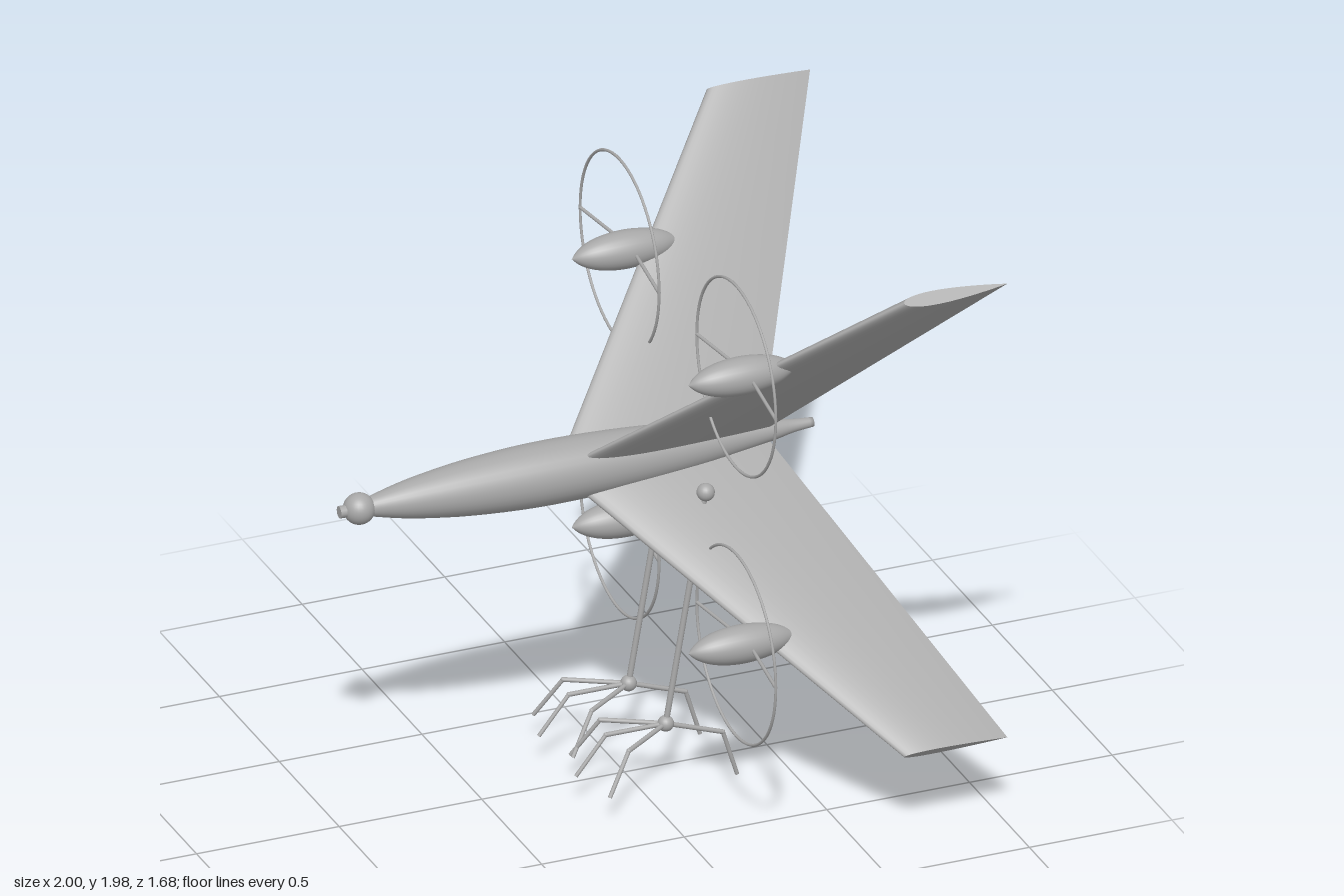
import * as THREE from 'three';

const grey = new THREE.MeshStandardMaterial({ color: 0xa8a8a8 });
const AXIS_Y = 1.147;
const V = (x, y, z) => new THREE.Vector3(x, y, z);

function add(parent, name, geometry) {
  const mesh = new THREE.Mesh(geometry, grey);
  mesh.name = name;
  parent.add(mesh);
  return mesh;
}

// Smooth body of revolution along x, from [x, radius] pairs
function spindle(points, segments = 32) {
  const curve = new THREE.SplineCurve(points.map(([x, r]) => new THREE.Vector2(r, x)));
  const profile = curve.getPoints(40).map(p => new THREE.Vector2(Math.max(p.x, 0), p.y));
  profile.unshift(new THREE.Vector2(0, profile[0].y));
  profile.push(new THREE.Vector2(0, profile[profile.length - 1].y));
  return new THREE.LatheGeometry(profile, segments).rotateZ(-Math.PI / 2);
}

// Round bar between two points
function bar(a, b, radius) {
  const d = b.clone().sub(a);
  const g = new THREE.CylinderGeometry(radius, radius, d.length(), 10);
  g.applyQuaternion(new THREE.Quaternion().setFromUnitVectors(V(0, 1, 0), d.normalize()));
  const m = a.clone().add(b).multiplyScalar(0.5);
  return g.translate(m.x, m.y, m.z);
}

// Swept, tapered wing: a cylinder reshaped to an aerofoil, span along +y
function wingGeometry() {
  const span = 1.165, thickness = 0.048;
  const g = new THREE.CylinderGeometry(1, 1, 1, 40, 1);
  const p = g.attributes.position;
  for (let i = 0; i < p.count; i++) {
    const t = p.getY(i) + 0.5;
    const u = THREE.MathUtils.clamp((1 + p.getZ(i)) / 2, 0, 1);
    const lead = THREE.MathUtils.lerp(-0.24, 0.635, t);
    const trail = THREE.MathUtils.lerp(0.483, 0.997, t);
    const half = 5 * thickness * (0.2969 * Math.sqrt(u) - 0.126 * u
      - 0.3516 * u * u + 0.2843 * u ** 3 - 0.1036 * u ** 4);
    const side = Math.abs(p.getX(i)) < 1e-6 ? 0 : Math.sign(p.getX(i));
    p.setXYZ(i, lead + (trail - lead) * u, t * span, -side * half);
  }
  g.computeVertexNormals();
  return g;
}

export function createModel() {
  const model = new THREE.Group();
  model.name = 'fourWingedFlyer';

  // Fuselage with nose ball and nose stub
  const fuselage = add(model, 'fuselage', spindle([
    [-0.92, 0.026], [-0.8, 0.055], [-0.7, 0.073], [-0.55, 0.092], [-0.35, 0.105],
    [-0.15, 0.105], [0.05, 0.095], [0.25, 0.076], [0.42, 0.051], [0.52, 0.035],
    [0.59, 0.022], [0.66, 0.016]]));
  fuselage.position.y = AXIS_Y;
  add(model, 'noseBall', new THREE.SphereGeometry(0.053, 28, 18)).position.set(-0.93, AXIS_Y, 0);
  add(model, 'noseStub', bar(V(-1, AXIS_Y, 0), V(-0.94, AXIS_Y, 0), 0.021));

  // Four diagonal wings
  const wing = wingGeometry();
  for (let i = 0; i < 4; i++) {
    const w = add(model, 'wing', wing);
    w.position.y = AXIS_Y;
    w.rotation.x = Math.PI / 4 + i * Math.PI / 2;
  }

  // Engine pod, rotor ring and cross struts on each wing
  const pod = spindle([
    [0.02, 0], [0.045, 0.024], [0.085, 0.045], [0.14, 0.059], [0.205, 0.064],
    [0.27, 0.059], [0.33, 0.045], [0.375, 0.022], [0.4, 0]], 28);
  const ring = new THREE.TorusGeometry(0.33, 0.005, 8, 64).rotateY(Math.PI / 2);
  for (const sy of [1, -1]) for (const sz of [1, -1]) {
    const rotor = new THREE.Group();
    rotor.name = 'rotor';
    rotor.position.set(0, AXIS_Y + sy * 0.487, sz * 0.487);
    add(rotor, 'enginePod', pod);
    add(rotor, 'rotorRing', ring).position.x = 0.188;
    for (const s of [1, -1])
      add(rotor, 'rotorStrut', bar(V(0.23, 0, 0), V(0.188, 0, s * 0.33), 0.006));
    model.add(rotor);
  }

  // Pair of legs with four jointed toes
  const toes = [
    [V(0.28, 0.17, 0), V(0.33, 0.008, 0)],
    [V(-0.13, 0.24, 0), V(-0.235, 0.11, 0)],
    [V(-0.1, 0.232, 0.12), V(-0.185, 0.1, 0.165)],
    [V(-0.1, 0.232, -0.12), V(-0.185, 0.1, -0.165)]];
  const hip = V(0.22, 1.052, 0), ankle = V(0.08, 0.24, 0);
  for (const s of [1, -1]) {
    const leg = new THREE.Group();
    leg.name = s > 0 ? 'leftLeg' : 'rightLeg';
    leg.position.z = s * 0.155;
    add(leg, 'hip', new THREE.SphereGeometry(0.03, 20, 14)).position.copy(hip);
    add(leg, 'shank', bar(hip, ankle, 0.01));
    add(leg, 'ankle', new THREE.SphereGeometry(0.027, 20, 14)).position.copy(ankle);
    for (const [knuckle, tip] of toes) {
      add(leg, 'toe', bar(ankle, knuckle, 0.008));
      add(leg, 'knuckle', new THREE.SphereGeometry(0.008, 10, 8)).position.copy(knuckle);
      add(leg, 'claw', bar(knuckle, tip, 0.007));
    }
    model.add(leg);
  }
  return model;
}
